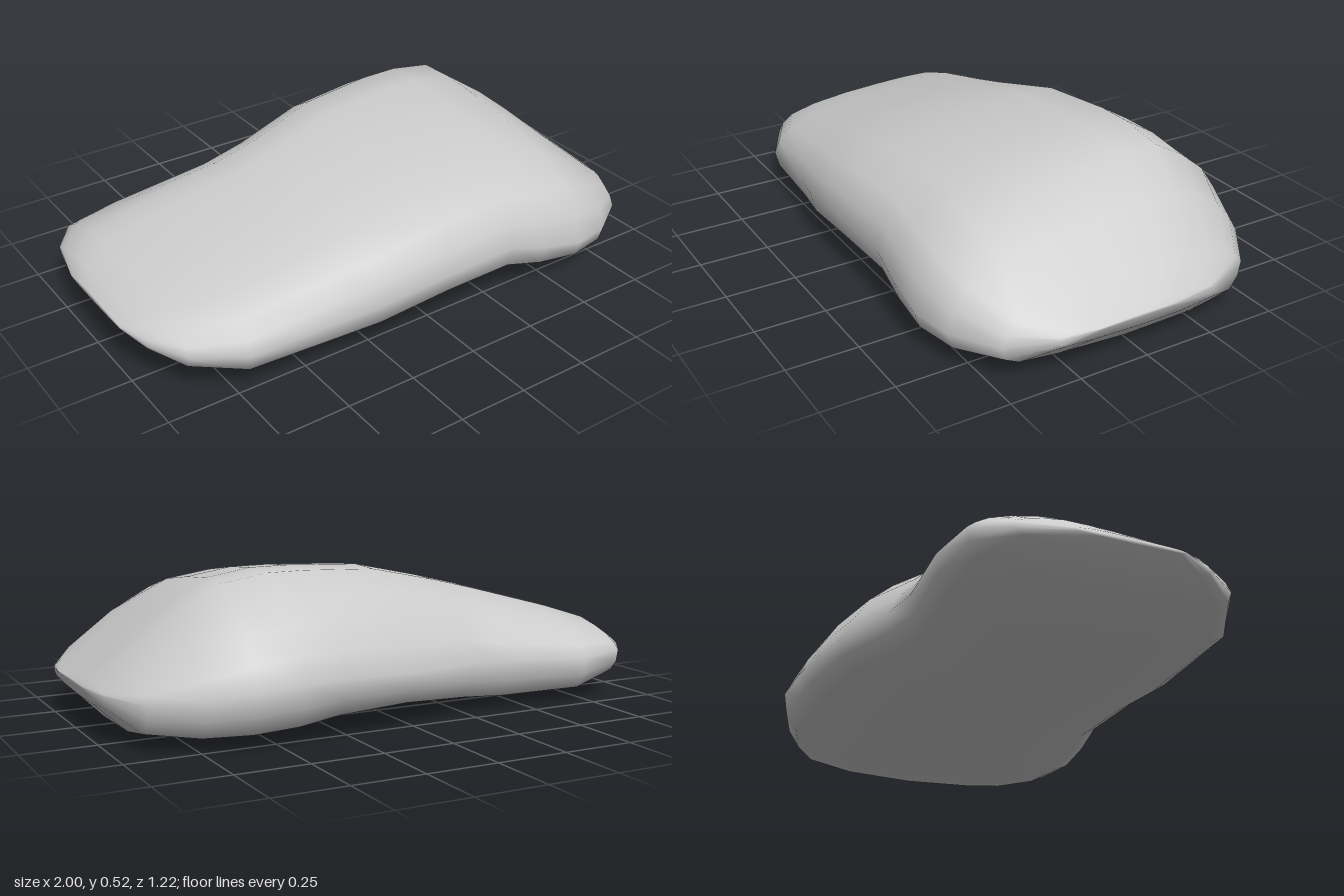
import * as THREE from 'three';

// Stations along the stone: x, back z, front z, top y, bottom y, front rim y, back rim y
const STATIONS = [
  [-1.0, -0.18, 0.2, 0.19, 0.17, 0.18, 0.18],
  [-0.96, -0.36, 0.31, 0.225, 0.13, 0.16, 0.18],
  [-0.88, -0.47, 0.43, 0.27, 0.07, 0.15, 0.18],
  [-0.71, -0.5, 0.52, 0.325, 0.015, 0.14, 0.17],
  [-0.4, -0.47, 0.545, 0.41, 0.005, 0.16, 0.18],
  [-0.24, -0.485, 0.575, 0.45, 0.02, 0.18, 0.19],
  [0.03, -0.56, 0.59, 0.51, 0.05, 0.21, 0.2],
  [0.3, -0.595, 0.58, 0.525, 0.04, 0.21, 0.21],
  [0.44, -0.605, 0.595, 0.525, 0.015, 0.17, 0.21],
  [0.6, -0.61, 0.605, 0.5, 0.01, 0.14, 0.2],
  [0.75, -0.555, 0.57, 0.4, 0.01, 0.13, 0.18],
  [0.9, -0.45, 0.47, 0.265, 0.03, 0.13, 0.16],
  [0.98, -0.27, 0.32, 0.185, 0.11, 0.15, 0.16],
  [1.0, -0.1, 0.2, 0.165, 0.155, 0.16, 0.16],
];

// Cross-section: side position (1 front, -1 back) and height (0 rim, 1 top, -1 bottom)
const SECTION = [
  [1, 0], [0.96, 0.25], [0.87, 0.5], [0.65, 0.71], [0.33, 0.86], [0, 0.95], [-0.28, 1], [-0.5, 0.99],
  [-0.69, 0.78], [-0.84, 0.54], [-0.94, 0.25], [-1, 0],
  [-0.98, -0.4], [-0.91, -0.74], [-0.55, -0.96], [0, -1], [0.55, -0.86], [0.87, -0.68], [0.97, -0.45],
];

function createStoneGeometry() {
  const positions = [];
  const indices = [];
  const n = SECTION.length;
  const lerp = THREE.MathUtils.lerp;

  for (const [x, back, front, top, bottom, rimF, rimB] of STATIONS) {
    for (const [s, h] of SECTION) {
      const t = (s + 1) / 2;
      const rim = lerp(rimB, rimF, t);
      positions.push(x, lerp(rim, h > 0 ? top : bottom, Math.abs(h)), lerp(back, front, t));
    }
  }

  // Skin between neighbouring sections
  const last = STATIONS.length - 1;
  for (let i = 0; i < last; i++) {
    for (let j = 0; j < n; j++) {
      const k = (j + 1) % n;
      const a = i * n + j, b = a + n, c = i * n + k, d = c + n;
      indices.push(a, b, c, b, d, c);
    }
  }

  // Close both ends
  for (const end of [0, last]) {
    const [x, back, front, top, bottom] = STATIONS[end];
    const centre = positions.length / 3;
    positions.push(x, (top + bottom) / 2, (back + front) / 2);
    for (let j = 0; j < n; j++) {
      const a = end * n + j, b = end * n + (j + 1) % n;
      if (end === 0) indices.push(centre, a, b);
      else indices.push(centre, b, a);
    }
  }

  const geometry = new THREE.BufferGeometry();
  geometry.setAttribute('position', new THREE.Float32BufferAttribute(positions, 3));
  geometry.setIndex(indices);
  geometry.computeVertexNormals();
  return geometry;
}

export function createModel() {
  const group = new THREE.Group();
  group.name = 'rock';
  const stone = new THREE.Mesh(createStoneGeometry(), new THREE.MeshStandardMaterial({ color: 0xcccccc }));
  stone.name = 'stone';
  group.add(stone);
  return group;
}
